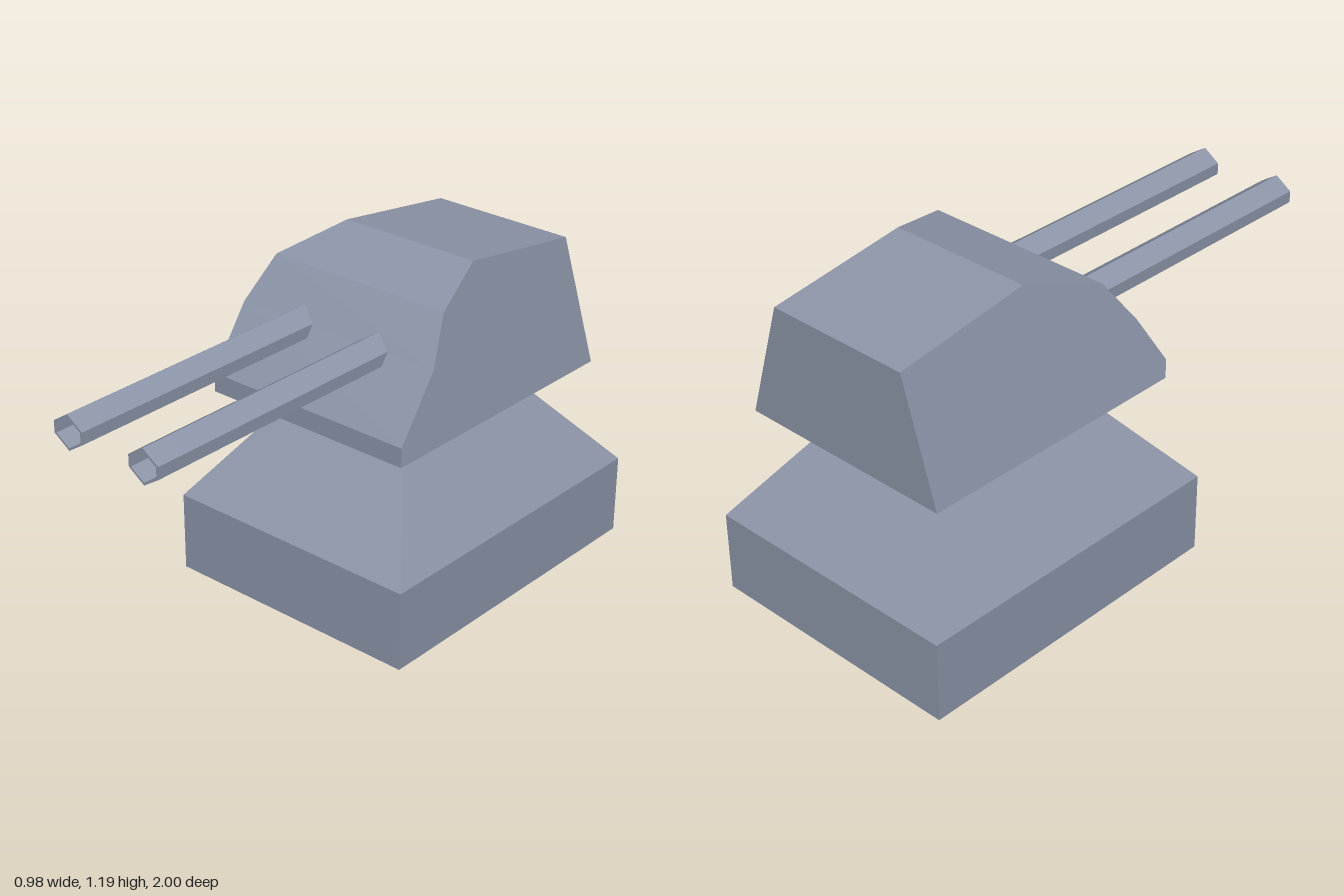
import * as THREE from 'three';

// Flat-shaded surface from convex polygons (corners counter-clockwise from outside)
function facets(polygons) {
  const positions = [], normals = [];
  for (const poly of polygons) {
    const normal = new THREE.Vector3();
    poly.forEach((p, i) => normal.add(p.clone().cross(poly[(i + 1) % poly.length])));
    normal.normalize();
    for (let i = 1; i < poly.length - 1; i++) {
      for (const p of [poly[0], poly[i], poly[i + 1]]) {
        positions.push(p.x, p.y, p.z);
        normals.push(normal.x, normal.y, normal.z);
      }
    }
  }
  const geometry = new THREE.BufferGeometry();
  geometry.setAttribute('position', new THREE.Float32BufferAttribute(positions, 3));
  geometry.setAttribute('normal', new THREE.Float32BufferAttribute(normals, 3));
  return geometry;
}

// Rectangular cross-sections stacked upward: [y, half width, back z, front z]
function stack(levels) {
  const rings = levels.map(([y, w, back, front]) =>
    [[w, front], [w, back], [-w, back], [-w, front]].map(([x, z]) => new THREE.Vector3(x, y, z)));
  const polygons = [rings[0].slice().reverse(), rings[rings.length - 1]];
  for (let k = 0; k < rings.length - 1; k++) {
    const a = rings[k], b = rings[k + 1];
    for (let i = 0; i < 4; i++) {
      const j = (i + 1) % 4;
      polygons.push([a[i], a[j], b[j], b[i]]);
    }
  }
  return facets(polygons);
}

// Gun house: one side outline, mirrored and joined across
function housing() {
  const side = [
    [0.41, 0.685, -0.905], [0.275, 1.115, -0.905], [0.272, 1.19, -0.39],
    [0.36, 1.122, -0.13], [0.41, 0.97, -0.022], [0.41, 0.755, 0.13], [0.41, 0.685, 0.13],
  ].map((p) => new THREE.Vector3(...p));
  const mirror = side.map((p) => new THREE.Vector3(-p.x, p.y, p.z));
  const polygons = [side, [mirror[0], ...mirror.slice(1).reverse()]];
  side.forEach((p, i) => {
    const j = (i + 1) % side.length;
    polygons.push([side[j], p, mirror[i], mirror[j]]);
  });
  return facets(polygons);
}

// Six-sided barrel section with points at top and bottom
function hexPoints(scale) {
  return [[0, 0.062], [-0.062, 0.021], [-0.062, -0.021], [0, -0.062], [0.062, -0.021], [0.062, 0.021]]
    .map(([x, y]) => new THREE.Vector2(x * scale, y * scale));
}

export function createModel() {
  const model = new THREE.Group();
  model.name = 'gunTurret';
  const steel = new THREE.MeshStandardMaterial({ color: 0x8c95a8 });
  steel.name = 'blue grey steel';

  const add = (name, geometry, parent = model) => {
    const mesh = new THREE.Mesh(geometry, steel);
    mesh.name = name;
    parent.add(mesh);
    return mesh;
  };

  // Pedestal with sloped shoulders and neck
  add('pedestal', stack([
    [0, 0.49, -1, 0.22],
    [0.29, 0.49, -1, 0.22],
    [0.585, 0.283, -0.74, -0.035],
    [0.69, 0.283, -0.74, -0.035],
  ]));

  add('gunHouse', housing());

  // Twin barrels with hollow muzzles
  const solid = new THREE.Shape(hexPoints(1));
  const hollow = new THREE.Shape(hexPoints(1));
  hollow.holes.push(new THREE.Path(hexPoints(0.86)));
  const shaftStart = -0.08, muzzleStart = 0.9;
  const shaft = new THREE.ExtrudeGeometry(solid, { depth: muzzleStart - shaftStart, bevelEnabled: false });
  const muzzle = new THREE.ExtrudeGeometry(hollow, { depth: 1 - muzzleStart, bevelEnabled: false });
  for (const [name, x] of [['rightBarrel', -0.166], ['leftBarrel', 0.156]]) {
    const barrel = new THREE.Group();
    barrel.name = name;
    barrel.position.set(x, 0.955, 0);
    add('shaft', shaft, barrel).position.z = shaftStart;
    add('muzzle', muzzle, barrel).position.z = muzzleStart;
    model.add(barrel);
  }
  return model;
}
